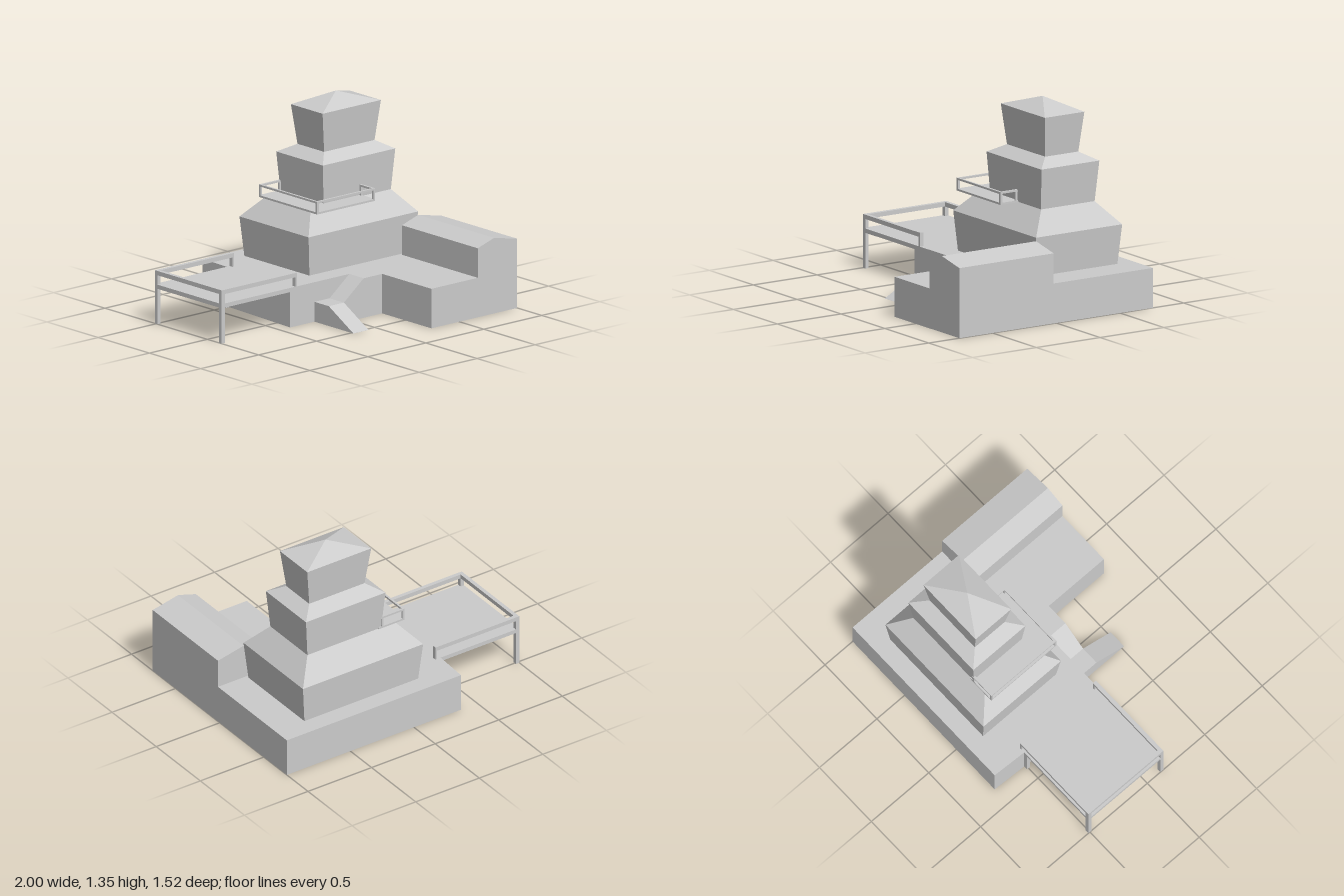
import * as THREE from 'three';

const grey = new THREE.MeshStandardMaterial({ color: 0xcccccc, flatShading: true, side: THREE.DoubleSide });

function add(parent, name, geometry) {
  const mesh = new THREE.Mesh(geometry, grey);
  mesh.name = name;
  parent.add(mesh);
  return mesh;
}

// Box given by its min and max on each axis
function box(parent, name, x0, x1, y0, y1, z0, z1) {
  const g = new THREE.BoxGeometry(x1 - x0, y1 - y0, z1 - z0);
  g.translate((x0 + x1) / 2, (y0 + y1) / 2, (z0 + z1) / 2);
  return add(parent, name, g);
}

// Tapered block between two rectangles [x0, x1, z0, z1]
function taper(parent, name, y0, y1, bottom, top) {
  const g = new THREE.BoxGeometry(1, 1, 1);
  const p = g.attributes.position;
  for (let i = 0; i < p.count; i++) {
    const up = p.getY(i) > 0;
    const r = up ? top : bottom;
    p.setXYZ(i, p.getX(i) < 0 ? r[0] : r[1], up ? y1 : y0, p.getZ(i) < 0 ? r[2] : r[3]);
  }
  g.computeVertexNormals();
  return add(parent, name, g);
}

function extrude(points, depth) {
  const shape = new THREE.Shape(points.map(([a, b]) => new THREE.Vector2(a, b)));
  return new THREE.ExtrudeGeometry(shape, { depth, bevelEnabled: false });
}

export function createModel() {
  const model = new THREE.Group();
  model.name = 'towerBuilding';

  // Stepped ground floor, outlined in plan
  const plan = [[-0.37, -0.76], [1, -0.76], [1, 0.76], [0.26, 0.76], [0.26, 0.28],
    [0.1, 0.28], [0.1, 0.14], [-0.41, 0.14]];
  add(model, 'base', extrude(plan.map(([x, z]) => [x, -z]), 0.265).rotateX(-Math.PI / 2));

  // Ridged wing on the front corner
  const wing = [[0.66, 0.2], [1, 0.2], [1, 0.465], [0.8, 0.507], [0.66, 0.463]];
  add(model, 'frontWing', extrude(wing, 0.74).translate(0, 0, 0.02));

  // Ramp, landing and turned upper ramp
  const ramp = new THREE.Group();
  ramp.name = 'entranceRamp';
  model.add(ramp);
  add(ramp, 'lowerRamp', extrude([[-0.52, 0], [-0.28, 0], [-0.28, 0.133]], 0.13)
    .rotateY(Math.PI / 2).translate(-0.2, 0, 0));
  box(ramp, 'landing', -0.2, -0.07, 0, 0.133, 0.14, 0.28);
  add(ramp, 'upperRamp', extrude([[-0.07, 0], [0.1, 0], [0.1, 0.265], [-0.07, 0.133]], 0.14)
    .translate(0, 0, 0.14));

  // Tower: flared storeys, each with a sloping skirt roof
  const tower = new THREE.Group();
  tower.name = 'tower';
  model.add(tower);
  const eaves = [[-0.145, 0.8, -0.655, 0.02], [0.075, 0.7, -0.545, -0.09], [0.135, 0.638, -0.47, -0.16]];
  const decks = [[-0.015, 0.675, -0.525, -0.105], [0.17, 0.605, -0.445, -0.185]];
  taper(tower, 'lowerStorey', 0.265, 0.53, [-0.12, 0.775, -0.635, 0], eaves[0]);
  taper(tower, 'lowerRoof', 0.53, 0.677, eaves[0], decks[0]);
  taper(tower, 'middleStorey', 0.677, 0.948, [0.095, 0.675, -0.525, -0.105], eaves[1]);
  taper(tower, 'middleRoof', 0.948, 1.003, eaves[1], decks[1]);
  taper(tower, 'upperStorey', 1.003, 1.27, decks[1], eaves[2]);
  taper(tower, 'topRoof', 1.27, 1.348, eaves[2], [0.387, 0.387, -0.315, -0.315]);

  // Raised terrace with legs and railing
  const terrace = new THREE.Group();
  terrace.name = 'terrace';
  model.add(terrace);
  const t = 0.027;
  box(terrace, 'terraceFloor', -1, -0.37, 0.237, 0.265, -0.513, 0.14);
  box(terrace, 'sideRail', -1, -1 + t, 0.328, 0.357, -0.513, 0.14);
  for (const [z, end] of [[-0.513, -0.34], [0.14 - t, -0.35]]) {
    box(terrace, 'longRail', -1, end, 0.328, 0.357, z, z + t);
    box(terrace, 'outerPost', -1, -1 + t, 0, 0.357, z, z + t);
    box(terrace, 'innerLeg', -0.408, -0.38, 0, 0.25, z, z + t);
    box(terrace, 'railEndPost', end - 0.014, end, 0.265, 0.33, z, z + t);
  }

  // Balcony wrapping the corner of the middle storey
  const balcony = new THREE.Group();
  balcony.name = 'balcony';
  model.add(balcony);
  const b = 0.015;
  box(balcony, 'sideFloor', -0.085, 0.12, 0.675, 0.688, -0.532, 0.035);
  box(balcony, 'frontFloor', 0.12, 0.415, 0.675, 0.688, -0.12, 0.035);
  const [r0, r1] = [0.747, 0.76];
  box(balcony, 'sideRail', -0.085, -0.085 + b, r0, r1, -0.532, 0.035);
  box(balcony, 'frontRail', -0.085, 0.415, r0, r1, 0.035 - b, 0.035);
  box(balcony, 'backRail', -0.085, 0.1, r0, r1, -0.532, -0.532 + b);
  box(balcony, 'endRail', 0.415 - b, 0.415, r0, r1, -0.11, 0.035);
  const posts = [[-0.085, -0.532], [-0.085, 0.035 - b], [0.415 - b, 0.035 - b],
    [0.08, -0.532], [0.415 - b, -0.1]];
  for (const [x, z] of posts) box(balcony, 'railPost', x, x + b, 0.68, 0.75, z, z + b);

  return model;
}
